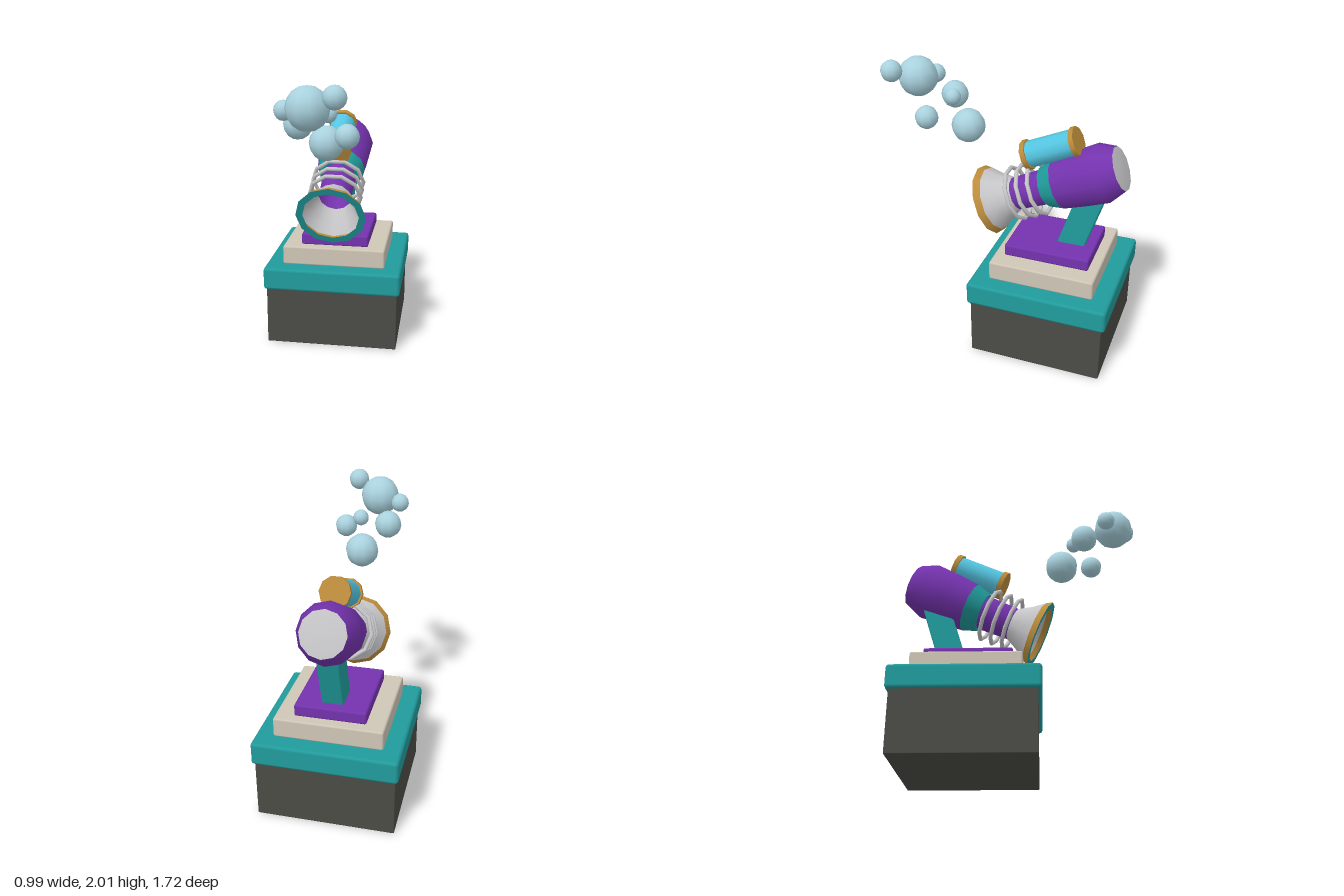
import * as THREE from 'three';
import { RoundedBoxGeometry } from 'three/addons/geometries/RoundedBoxGeometry.js';

const material = (name, color, side = THREE.FrontSide) => {
  const m = new THREE.MeshStandardMaterial({ color, side });
  m.name = name;
  return m;
};

export function createModel() {
  const dark = material('charcoal', 0x4b4b46);
  const teal = material('teal', 0x219c9d, THREE.DoubleSide);
  const cream = material('cream', 0xcfc6b6);
  const purple = material('purple', 0x7433ae, THREE.DoubleSide);
  const gold = material('gold', 0xbd8d3c, THREE.DoubleSide);
  const silver = material('silver', 0xc6c6c9, THREE.DoubleSide);
  const cyan = material('cyan', 0x55c6e2);
  const bubble = material('pale blue', 0xa9d2de);

  const model = new THREE.Group();
  model.name = 'bubbleCannon';
  const add = (parent, name, geometry, mat) => {
    const mesh = new THREE.Mesh(geometry, mat);
    mesh.name = name;
    parent.add(mesh);
    return mesh;
  };

  // Stepped plinth: name, width, depth, bottom, top, edge radius, material
  const steps = [
    ['plinthBase', 0.95, 0.945, 0, 0.43, 0.006, dark],
    ['plinthLedge', 0.99, 0.995, 0.42, 0.585, 0.022, teal],
    ['plinthStep', 0.745, 0.745, 0.58, 0.72, 0.014, cream],
    ['mountPlate', 0.49, 0.605, 0.715, 0.802, 0.014, purple],
  ];
  for (const [name, w, d, y0, y1, r, mat] of steps) {
    add(model, name, new RoundedBoxGeometry(w, y1 - y0, d, 1, r), mat)
      .position.set(0, (y0 + y1) / 2, -0.3625);
  }

  // Leaning support that runs up into the body
  const support = add(model, 'support', new RoundedBoxGeometry(0.15, 0.5, 0.187, 1, 0.012), teal);
  support.position.set(0, 0.99, -0.553);
  support.rotation.x = -0.305;

  // Tilted cannon: local y runs from the muzzle to the back, local z is up
  const cannon = new THREE.Group();
  cannon.name = 'cannon';
  cannon.position.set(0, 1, 0.13);
  cannon.rotation.x = THREE.MathUtils.degToRad(-66);
  model.add(cannon);

  // Turned parts: profiles of [radius, distance from muzzle]
  const turned = [
    ['muzzleFace', teal, [[0.25, 0], [0.2, 0]]],
    ['muzzleBand', gold, [[0.25, 0], [0.226, 0.045]]],
    ['horn', silver, [[0.226, 0.045], [0.165, 0.13], [0.117, 0.218]]],
    ['barrel', purple, [[0.117, 0.218], [0.125, 0.45]]],
    ['collarFace', teal, [[0.125, 0.45], [0.142, 0.45]]],
    ['collar', teal, [[0.142, 0.45], [0.178, 0.557]]],
    ['body', purple, [[0.178, 0.557], [0.194, 0.72], [0.205, 0.89], [0.154, 1.01]]],
    ['backCap', silver, [[0.154, 1.01], [0.1, 1.017], [0, 1.02]]],
  ];
  for (const [name, mat, profile] of turned) {
    const points = profile.map(([r, s]) => new THREE.Vector2(r, s));
    add(cannon, name, new THREE.LatheGeometry(points, 12), mat);
  }

  // Coil rings around the barrel
  for (const s of [0.224, 0.311, 0.398]) {
    const ring = add(cannon, 'coilRing', new THREE.TorusGeometry(0.187, 0.015, 8, 10), silver);
    ring.position.y = s;
    ring.rotation.x = Math.PI / 2;
  }

  // Tank on top with a cap at each end
  const tank = [
    ['tankFrontCap', 0.105, 0.4, 0.435, gold],
    ['tank', 0.093, 0.435, 0.765, cyan],
    ['tankBackCap', 0.105, 0.765, 0.8, gold],
  ];
  for (const [name, r, s0, s1, mat] of tank) {
    const part = add(cannon, name, new THREE.CylinderGeometry(r, r, s1 - s0, 10), mat);
    part.position.set(0, (s0 + s1) / 2, 0.257);
    part.rotation.y = Math.PI / 2;
  }

  // Floating bubbles: x, y, z, radius
  const bubbles = [
    [0, 1.555, 0.29, 0.118],
    [-0.05, 1.845, 0.68, 0.14],
    [0.132, 1.93, 0.785, 0.075],
    [0.17, 1.65, 0.522, 0.08],
    [-0.155, 1.705, 0.453, 0.096],
    [0.03, 1.763, 0.386, 0.056],
    [-0.21, 1.82, 0.615, 0.065],
  ];
  for (const [x, y, z, r] of bubbles) {
    add(model, 'bubble', new THREE.SphereGeometry(r, 10, 8), bubble).position.set(x, y, z);
  }

  return model;
}
